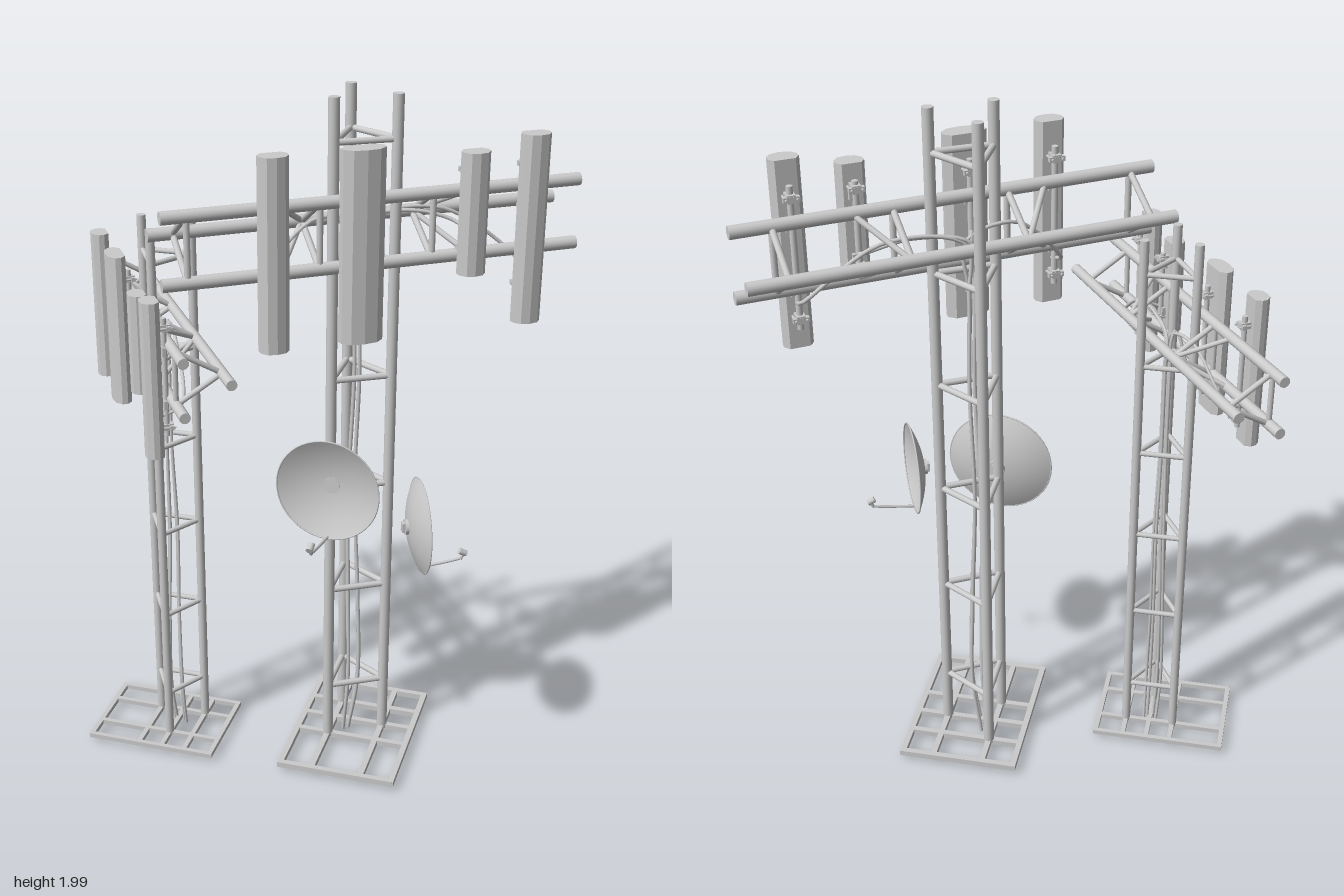
import * as THREE from 'three';

const mat = new THREE.MeshStandardMaterial({ color: 0xcccccc });
const thinMat = new THREE.MeshStandardMaterial({ color: 0xcccccc, side: THREE.DoubleSide });
const V = (x, y, z) => new THREE.Vector3(x, y, z);

function add(parent, name, geo, x = 0, y = 0, z = 0, m = mat) {
  const mesh = new THREE.Mesh(geo, m);
  mesh.name = name;
  mesh.position.set(x, y, z);
  parent.add(mesh);
  return mesh;
}

// Round bar between two points
function bar(parent, name, a, b, r, sides = 12) {
  const mesh = add(parent, name, new THREE.CylinderGeometry(r, r, a.distanceTo(b), sides));
  mesh.position.copy(a).add(b).multiplyScalar(0.5);
  mesh.quaternion.setFromUnitVectors(V(0, 1, 0), b.clone().sub(a).normalize());
}

function tube(parent, name, pts, r, segs = 40) {
  add(parent, name, new THREE.TubeGeometry(new THREE.CatmullRomCurve3(pts), segs, r, 8));
}

// Antenna frame placement: centre of the front bars and heading
const FRAME = V(0.214, 0, -0.035), HEADING = 0.605;
const frameToTower = (s, y, n) => V(s, y, n).applyAxisAngle(V(0, 1, 0), HEADING).add(FRAME);

// Panels: distance along the frame, width, depth, bottom, top
const PANELS = [
  [-0.307, 0.082, 0.058, 1.365, 1.89],
  [-0.064, 0.122, 0.06, 1.365, 1.89],
  [0.25, 0.078, 0.058, 1.52, 1.855],
  [0.421, 0.082, 0.058, 1.365, 1.89],
];

function createBase(parent) {
  const g = new THREE.Group();
  g.name = 'baseGrid';
  parent.add(g);
  for (const x of [0.004, 0.1, 0.25, 0.344])
    add(g, 'baseRail', new THREE.BoxGeometry(0.017, 0.017, 0.482), x, 0.028, -0.055);
  for (const z of [-0.288, -0.186, -0.098, -0.01, 0.178])
    add(g, 'baseCrossRail', new THREE.BoxGeometry(0.35, 0.017, 0.017), 0.174, 0.028, z);
}

function createMast(parent) {
  const g = new THREE.Group();
  g.name = 'mast';
  parent.add(g);
  const legs = [[0.1, -0.186], [0.1, -0.01], [0.25, -0.098]];
  for (const [x, z] of legs) bar(g, 'mastLeg', V(x, 0.025, z), V(x, 2, z), 0.0155, 16);
  // Triangular rungs up the mast
  for (let k = 0; k < 6; k++) {
    const y = 0.205 + k * 0.335;
    legs.forEach(([x, z], i) => {
      const [x2, z2] = legs[(i + 1) % 3];
      bar(g, 'mastRung', V(x, y, z), V(x2, y, z2), 0.009);
    });
  }
}

function createPanel(parent, [s, w, d, y0, y1]) {
  const g = new THREE.Group();
  g.name = 'panelAntenna';
  g.position.set(s, (y0 + y1) / 2, 0);
  parent.add(g);
  const h = y1 - y0;
  // Flat back, chamfered sides and gently bowed front
  const outline = [[-0.34, -0.5], [0.34, -0.5], [0.5, -0.2], [0.48, 0.12], [0.3, 0.42],
    [0, 0.5], [-0.3, 0.42], [-0.48, 0.12], [-0.5, -0.2]];
  const shape = new THREE.Shape(outline.map(([u, v]) => new THREE.Vector2(u * w, -v * d)));
  const geo = new THREE.ExtrudeGeometry(shape, { depth: h, bevelEnabled: false });
  geo.rotateX(-Math.PI / 2);
  add(g, 'panelHousing', geo, 0, -h / 2, 0.064);
  // Mounting pole with clamps
  bar(g, 'panelPole', V(0, -h * 0.38, 0.018), V(0, h * 0.38, 0.018), 0.009);
  for (const k of [-1, 1]) {
    add(g, 'panelBracket', new THREE.BoxGeometry(0.024, 0.022, 0.05), 0, k * h * 0.32, 0.025);
    add(g, 'poleClamp', new THREE.BoxGeometry(0.044, 0.014, 0.014), 0, k * h * 0.32, 0.006);
    add(g, 'clampPlate', new THREE.BoxGeometry(0.034, 0.03, 0.012), 0, k * 0.09, 0.022);
    for (const e of [-1, 1])
      bar(g, 'clampBolt', V(e * 0.015, k * h * 0.32, -0.008), V(e * 0.015, k * h * 0.32, 0.04), 0.004, 6);
  }
}

function createFrame(parent) {
  const g = new THREE.Group();
  g.name = 'antennaFrame';
  g.position.copy(FRAME);
  g.rotation.y = HEADING;
  parent.add(g);
  const top = 1.735, bottom = 1.555, mid = 1.645, back = -0.151, half = 0.59;
  for (const [y, z] of [[top, 0], [bottom, 0], [mid, back]])
    bar(g, 'frameBar', V(-half, y, z), V(half, y, z), 0.018, 16);
  // Triangular spacers between the three bars
  for (const s of [-0.52, -0.16, 0.16, 0.48]) {
    bar(g, 'frameUpright', V(s, bottom, 0), V(s, top, 0), 0.009);
    for (const y of [top, bottom]) bar(g, 'frameSpacer', V(s, y, 0), V(s, mid, back), 0.009);
  }
  // Diagonal braces either side of the mast
  for (const k of [-1, 1]) for (const y of [top, bottom])
    bar(g, 'frameBrace', V(k * 0.27, y, 0), V(k * 0.16, mid, back), 0.008);
  PANELS.forEach((p) => createPanel(g, p));
}

function createCables(parent) {
  const g = new THREE.Group();
  g.name = 'cables';
  parent.add(g);
  PANELS.forEach(([s, , , y0, y1], i) => {
    const a = i * Math.PI / 2 + 0.4, c = Math.cos(a), d = Math.sin(a), yEnd = y0 + (y1 - y0) * 0.25;
    tube(g, 'cable', [
      V(0.135 + c * 0.01, 0.006, -0.1 + d * 0.025),
      V(0.155 + c * 0.02, 0.2, -0.095 + d * 0.03),
      V(0.15 + c * 0.02, 0.5, -0.095 + d * 0.025),
      V(0.14 + c * 0.012, 0.85, -0.1 + d * 0.02),
      V(0.15 + c * 0.01, 1.2, -0.1 + d * 0.012),
      V(0.145 + c * 0.01, 1.5, -0.1 + d * 0.012),
      V(0.15 + c * 0.012, 1.64, -0.1 + d * 0.012),
      frameToTower(s * 0.5, 1.67, -0.07),
      frameToTower(s, yEnd + 0.03, -0.03),
      frameToTower(s, yEnd, 0.04),
    ], 0.0055, 80);
  });
}

function createDish(parent, x, y, z, heading, radius) {
  const g = new THREE.Group();
  g.name = 'dish';
  g.position.set(x, y, z);
  g.rotation.y = heading;
  g.scale.setScalar(radius);
  parent.add(g);
  // Shallow bowl with a rolled rim, opening along +z
  const profile = [];
  for (let i = 0; i <= 10; i++) profile.push(new THREE.Vector2(i / 10, 0.26 * (i * i / 100 - 1)));
  add(g, 'dishBowl', new THREE.LatheGeometry(profile, 48), 0, 0, 0, thinMat).rotation.x = Math.PI / 2;
  add(g, 'dishRim', new THREE.TorusGeometry(0.985, 0.015, 8, 48));
  add(g, 'dishHub', new THREE.CylinderGeometry(0.16, 0.16, 0.08, 20), 0, 0, -0.28).rotation.x = Math.PI / 2;
  add(g, 'dishMount', new THREE.BoxGeometry(0.14, 0.2, 0.1), 0, 0, -0.33);
  // Feed arm reaching out from the lower rim
  tube(g, 'feedArm', [V(0, -0.97, -0.02), V(0, -0.93, 0.3), V(0, -0.88, 0.65), V(0, -0.83, 0.9)], 0.03, 16);
  bar(g, 'feedPost', V(0, -0.85, 0.88), V(0, -0.7, 0.95), 0.035);
  bar(g, 'feedHorn', V(0, -0.73, 1.0), V(0, -0.66, 0.85), 0.065);
}

function createTower(name) {
  const g = new THREE.Group();
  g.name = name;
  createBase(g);
  createMast(g);
  createFrame(g);
  createCables(g);
  return g;
}

export function createModel() {
  const model = new THREE.Group();
  model.name = 'antennaTowers';

  // Tall tower with two dishes
  const tall = createTower('tallTower');
  createDish(tall, 0.106, 0.895, 0.045, -0.06, 0.155);
  createDish(tall, 0.378, 0.83, 0.055, 2.02, 0.138);
  model.add(tall);

  // Short tower: the same design, smaller and a quarter turn round
  const short = createTower('shortTower');
  short.scale.setScalar(0.82);
  short.rotation.y = -Math.PI / 2;
  short.position.set(-0.45, 0.005, -0.082);
  model.add(short);

  return model;
}
